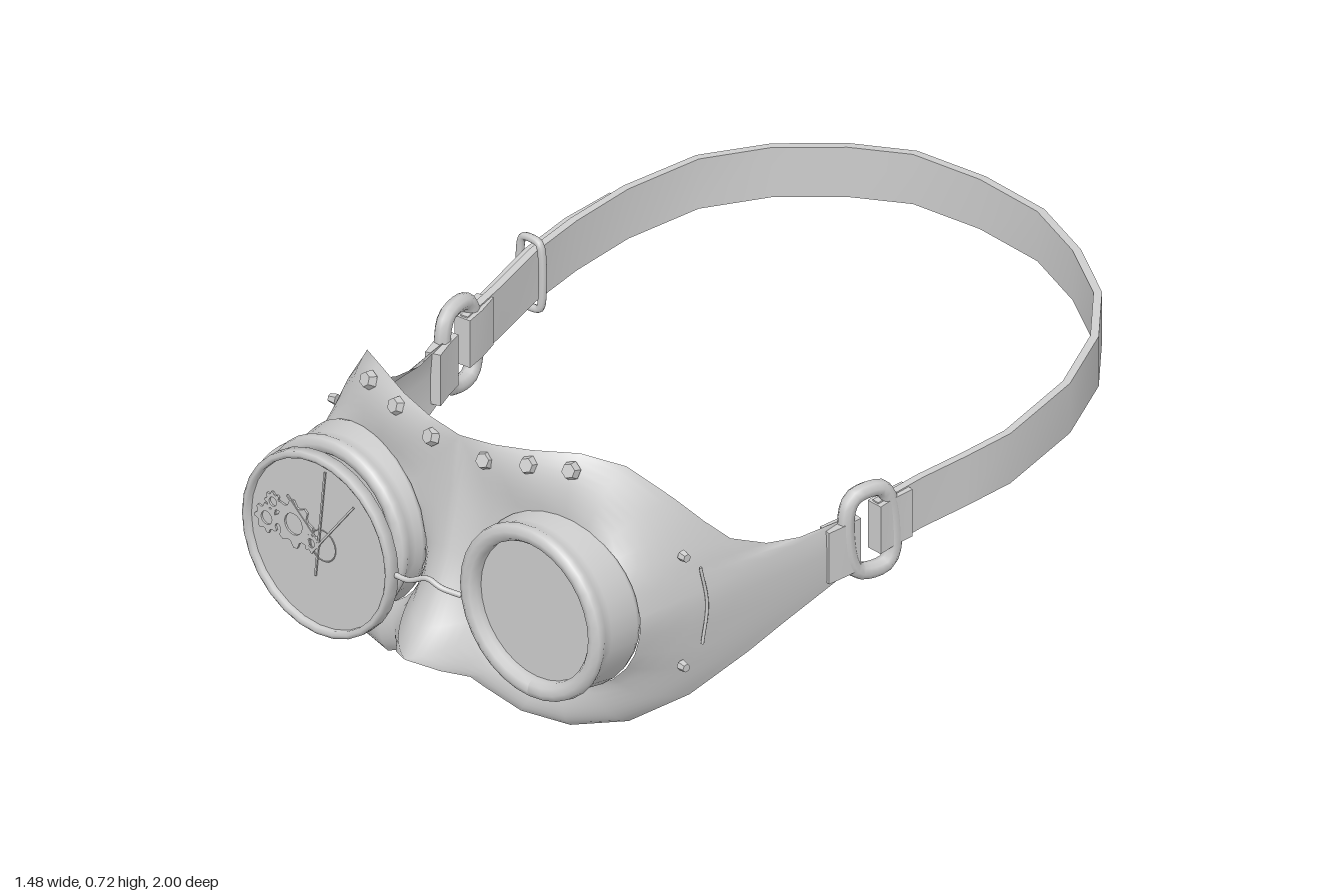
import * as THREE from 'three';
import { mergeVertices } from 'three/addons/utils/BufferGeometryUtils.js';

const V = (x, y, z) => new THREE.Vector3(x, y, z);
const smooth = new THREE.MeshStandardMaterial({ color: 0xcccccc, side: THREE.DoubleSide });
const flat = new THREE.MeshStandardMaterial({ color: 0xcccccc, side: THREE.DoubleSide, flatShading: true });

export function createModel() {
  const root = new THREE.Group();
  const add = (name, geo, mat = smooth, pos = [0, 0, 0]) => {
    const m = new THREE.Mesh(geo, mat);
    m.name = name;
    m.position.set(...pos);
    root.add(m);
    return m;
  };
  const wire = (name, pts, r = 0.005, closed = false, seg = 24) => add(name,
    new THREE.TubeGeometry(new THREE.CatmullRomCurve3(pts.map(p => V(...p)), closed), seg, r, 8, closed));
  // six-sided stud whose axis points along dir
  const stud = (name, pos, dir, r = 0.022, h = 0.02) => add(name,
    new THREE.CylinderGeometry(r * 0.75, r, h, 6), flat, pos)
    .quaternion.setFromUnitVectors(V(0, 1, 0), V(...dir).normalize());

  // Leather mask: each half is lofted from the slanted eye hole to its outline
  const EX = 0.31, EY = 0.347, ER = 0.217;
  const slant = x => -0.14 * (x - EX);
  const shift = z => 0.013 * THREE.MathUtils.clamp((z - 0.15) / 0.4, 0, 1);
  const outline = [ // angle around the eye, then the outline point
    [0, 0.635, 0.35, 0.15], [6, 0.63, 0.42, 0.15], [20, 0.60, 0.414, 0.29], [28, 0.585, 0.435, 0.39],
    [36, 0.56, 0.48, 0.49], [46, 0.53, 0.54, 0.55], [58, 0.49, 0.61, 0.61], [72, 0.41, 0.695, 0.685],
    [87, 0.32, 0.72, 0.745], [103, 0.2, 0.70, 0.785], [120, 0.1, 0.685, 0.805], [138, 0, 0.675, 0.812],
    [155, 0, 0.55, 0.83], [175, 0, 0.40, 0.86], [192, 0, 0.30, 0.90], [208, 0, 0.22, 0.95],
    [218, 0, 0.155, 1.0], [228, 0.07, 0.133, 0.955], [238, 0.115, 0.112, 0.9], [246, 0.13, 0.08, 0.87],
    [257, 0.21, 0.03, 0.83], [272, 0.32, 0.013, 0.78], [292, 0.44, 0.04, 0.71], [310, 0.53, 0.10, 0.60],
    [325, 0.58, 0.17, 0.45], [338, 0.60, 0.21, 0.35], [352, 0.635, 0.28, 0.15]];
  const RINGS = 8, pos = [], idx = [];
  for (const s of [1, -1]) {
    const base = pos.length / 3, n = outline.length;
    outline.forEach(([deg, x, y, z], i) => {
      const a = deg * Math.PI / 180, c = Math.cos(a), sn = Math.sin(a);
      const inner = V(EX + ER * c, EY + ER * sn, 0.795 + slant(EX + ER * c)), outer = V(x, y, z);
      const mid = inner.clone().lerp(outer, 0.5);
      // flat across the centre line so the nose is round, slightly swollen elsewhere
      if (x === 0) mid.z = THREE.MathUtils.lerp(inner.z, outer.z, 0.9);
      else mid.add(V(c * 0.02, sn * 0.03, 0.03));
      const curve = new THREE.QuadraticBezierCurve3(inner, mid, outer);
      for (let j = 0; j <= RINGS; j++) {
        const p = curve.getPoint(j / RINGS);
        pos.push(s * p.x + shift(p.z), p.y, p.z);
        if (j === RINGS) continue;
        const A = base + i * (RINGS + 1) + j, D = base + ((i + 1) % n) * (RINGS + 1) + j;
        if (s > 0) idx.push(A, A + 1, D + 1, A, D + 1, D);
        else idx.push(A, D + 1, A + 1, A, D, D + 1);
      }
    });
  }
  let mask = new THREE.BufferGeometry();
  mask.setAttribute('position', new THREE.Float32BufferAttribute(pos, 3));
  mask.setIndex(idx);
  mask = mergeVertices(mask, 1e-4);
  mask.computeVertexNormals();
  add('mask', mask);

  // Parts shared by both sides
  const lathe = (pts, seg = 32) => new THREE.LatheGeometry(
    pts.map(p => new THREE.Vector2(...p)), seg).rotateX(Math.PI / 2);
  for (const s of [1, -1]) {
    // eye cup whose back edge follows the slant of the mask
    const cup = lathe([[0.198, 0.785], [0.218, 0.782], [0.224, 0.8], [0.214, 0.845], [0.217, 0.868], [0.223, 0.88],
      [0.22, 0.894], [0.205, 0.902], [0.188, 0.898], [0.178, 0.885], [0.178, 0.86], [0.198, 0.785]]);
    const p = cup.attributes.position;
    for (let i = 0; i < p.count; i++)
      if (p.getZ(i) < 0.81) p.setZ(i, p.getZ(i) + slant(EX + s * p.getX(i)));
    cup.computeVertexNormals();
    add('eyeCup', cup, smooth, [s * EX, EY, 0]);
    add('lens', new THREE.CircleGeometry(0.182, 32), smooth, [s * EX, EY, 0.868]);
    for (const [x, y, z] of [[0.085, 0.645, 0.823], [0.209, 0.673, 0.808], [0.32, 0.69, 0.783]])
      stud('browRivet', [s * x + 0.015, y, z], [s * 0.2, 0.4, 1], 0.024);
    for (const [x, y, z] of [[0.555, 0.49, 0.64], [0.562, 0.205, 0.65]])
      stud('sideRivet', [s * x + 0.01, y, z], [s, 0, 0.2], 0.014);
    wire('sideSeam', [[s * 0.566 + 0.012, 0.45, 0.6], [s * 0.573 + 0.012, 0.35, 0.585],
      [s * 0.572 + 0.012, 0.25, 0.6]], 0.004);
    // strap ring, leaning with the side of the head
    const ring = [[0.035, 0.30], [0.045, 0.44], [0.07, 0.475], [0.145, 0.475], [0.165, 0.44],
      [0.155, 0.31], [0.13, 0.275], [0.055, 0.27]];
    wire('strapRing', ring.map(([z, y]) => [s * (0.655 - 0.18 * (z - 0.07)), y, z]), 0.021, true, 32);
  }

  // Strap: flat ribbon that rises towards the back of the head
  const strapY = z => 0.388 - 0.163 * z;
  const ribbon = (name, path, h, t, drop = 0) => {
    const p = [], ix = [], n = path.length;
    const sections = path.map(([x, z], i) => {
      const a = path[Math.max(i - 1, 0)], b = path[Math.min(i + 1, n - 1)];
      const dx = b[0] - a[0], dz = b[1] - a[1], l = Math.hypot(dx, dz);
      const nx = -dz / l * t / 2, nz = dx / l * t / 2, y = strapY(z) - drop;
      return [[1, -1], [1, 1], [-1, 1], [-1, -1]].map(([k, v]) => [x + k * nx, y + v * h / 2, z + k * nz]);
    });
    sections.forEach((c, i) => {
      for (let k = 0; k < 4; k++) {
        p.push(...c[k], ...c[(k + 1) % 4]);
        const A = i * 8 + k * 2;
        if (i < n - 1) ix.push(A, A + 1, A + 9, A, A + 9, A + 8);
      }
    });
    p.push(...sections[0].flat(), ...sections[n - 1].flat());
    const e = n * 8;
    ix.push(e, e + 2, e + 1, e, e + 3, e + 2, e + 4, e + 5, e + 6, e + 4, e + 6, e + 7);
    const g = new THREE.BufferGeometry();
    g.setAttribute('position', new THREE.Float32BufferAttribute(p, 3));
    g.setIndex(ix);
    g.computeVertexNormals();
    return add(name, g);
  };
  ribbon('strap', [[0.65, 0.08], [0.67, -0.05], [0.70, -0.17], [0.725, -0.29], [0.708, -0.51], [0.64, -0.68],
    [0.53, -0.81], [0.375, -0.905], [0.2, -0.972], [0, -0.99], [-0.2, -0.975], [-0.35, -0.91], [-0.5, -0.81],
    [-0.615, -0.68], [-0.675, -0.5], [-0.692, -0.34], [-0.69, -0.2], [-0.665, -0.05], [-0.65, 0.08]], 0.132, 0.02);
  ribbon('strapEnd', [[-0.692, -0.47], [-0.712, -0.34], [-0.71, -0.2], [-0.685, -0.06], [-0.665, 0.06]], 0.135, 0.014, 0.008);
  // folds of strap and mask around the ring bars
  for (const s of [1, -1]) {
    ribbon('strapFold', [[s * 0.651, 0.085], [s * 0.655, 0.04], [s * 0.667, -0.01]], 0.125, 0.045);
    ribbon('maskFold', [[s * 0.619, 0.22], [s * 0.632, 0.175], [s * 0.64, 0.135]], 0.135, 0.04, 0.01);
  }

  // Buckle and strap studs on the right side
  for (const z of [-0.27, -0.42]) stud('strapStud', [-0.722, strapY(z), z], [-1, 0, 0], 0.024, 0.03);
  wire('buckle', [[-0.728, 0.345, -0.2], [-0.728, 0.5, -0.2], [-0.72, 0.512, -0.2], [-0.675, 0.512, -0.2],
    [-0.666, 0.5, -0.2], [-0.666, 0.345, -0.2], [-0.675, 0.335, -0.2], [-0.72, 0.335, -0.2]], 0.01, true, 48);
  wire('bucklePin', [[-0.728, 0.42, -0.2], [-0.732, 0.425, -0.25], [-0.722, 0.43, -0.29]], 0.007);

  // Extra glass in front of the right eye
  const MX = -0.31, MY = 0.318;
  add('monocleRing', lathe([[0.217, 0.928], [0.235, 0.925], [0.235, 0.953], [0.226, 0.957], [0.217, 0.953],
    [0.217, 0.928]], 28), smooth, [MX, MY, 0]);
  add('monocleGlass', new THREE.CircleGeometry(0.219, 28), smooth, [MX, MY, 0.94]);
  const gear = (r, teeth, hole) => {
    const shape = new THREE.Shape();
    for (let i = 0; i < teeth * 4; i++) {
      const a = i / (teeth * 4) * Math.PI * 2, q = i % 4 < 2 ? r : r * 0.78;
      shape[i ? 'lineTo' : 'moveTo'](q * Math.cos(a), q * Math.sin(a));
    }
    shape.holes.push(new THREE.Path().absarc(0, 0, hole, 0, Math.PI * 2, true));
    return new THREE.ExtrudeGeometry(shape, { depth: 0.006, bevelEnabled: false, curveSegments: 8 });
  };
  for (const [x, y, r, n] of [[-0.39, 0.34, 0.062, 8], [-0.475, 0.325, 0.038, 8], [-0.455, 0.375, 0.026, 8],
    [-0.335, 0.31, 0.026, 8]])
    add('dialGear', gear(r, n, r * 0.45), flat, [x, y, 0.939]);
  add('dialCircle', new THREE.TorusGeometry(0.04, 0.0015, 6, 24), smooth, [-0.3, 0.315, 0.941]);
  const hand = (x0, y0, x1, y1) => {
    const m = add('clockHand', new THREE.BoxGeometry(Math.hypot(x1 - x0, y1 - y0), 0.005, 0.004), flat,
      [(x0 + x1) / 2, (y0 + y1) / 2, 0.945]);
    m.rotation.z = Math.atan2(y1 - y0, x1 - x0);
  };
  hand(-0.32, 0.23, -0.29, 0.515);
  hand(-0.33, 0.29, -0.2, 0.455);
  hand(-0.31, 0.32, -0.41, 0.41);

  // Wire bridge over the nose and the arms holding the glass
  wire('noseWire', [[-0.085, 0.32, 0.935], [-0.04, 0.318, 0.93], [0.01, 0.337, 0.92], [0.05, 0.325, 0.915],
    [0.09, 0.31, 0.89]], 0.007);
  for (const [y, ex, ey] of [[0.39, -0.45, 0.48], [0.35, -0.54, 0.32], [0.31, -0.45, 0.16]])
    wire('monocleArm', [[-0.602, y, 0.44], [-0.582, y, 0.65], [-0.562, (y * 2 + ey) / 3, 0.8], [-0.525, (y + ey) / 2, 0.9],
      [ex, ey, 0.93]], 0.005);

  // Side gears with hubs, lying on the outside of the mask
  for (const [x, y, z, r] of [[-0.598, 0.36, 0.45, 0.055], [-0.612, 0.31, 0.36, 0.036]]) {
    add('sideGear', gear(r, 10, r * 0.4), flat, [x, y, z]).rotation.y = -1.4;
    stud('gearHub', [x - 0.006, y, z], [-1, 0, 0.17], r * 0.45, 0.02);
  }

  // Loose wire loops hanging below the right side
  wire('hangingLoop', [[-0.59, 0.22, 0.6], [-0.6, 0.09, 0.583], [-0.59, 0.025, 0.56], [-0.58, 0.006, 0.53],
    [-0.575, 0.03, 0.495], [-0.575, 0.1, 0.475], [-0.595, 0.25, 0.47]], 0.005, false, 32);
  wire('hangingLoop', [[-0.598, 0.24, 0.45], [-0.605, 0.15, 0.435], [-0.605, 0.11, 0.4], [-0.605, 0.14, 0.365],
    [-0.61, 0.25, 0.35]], 0.005);
  return root;
}
